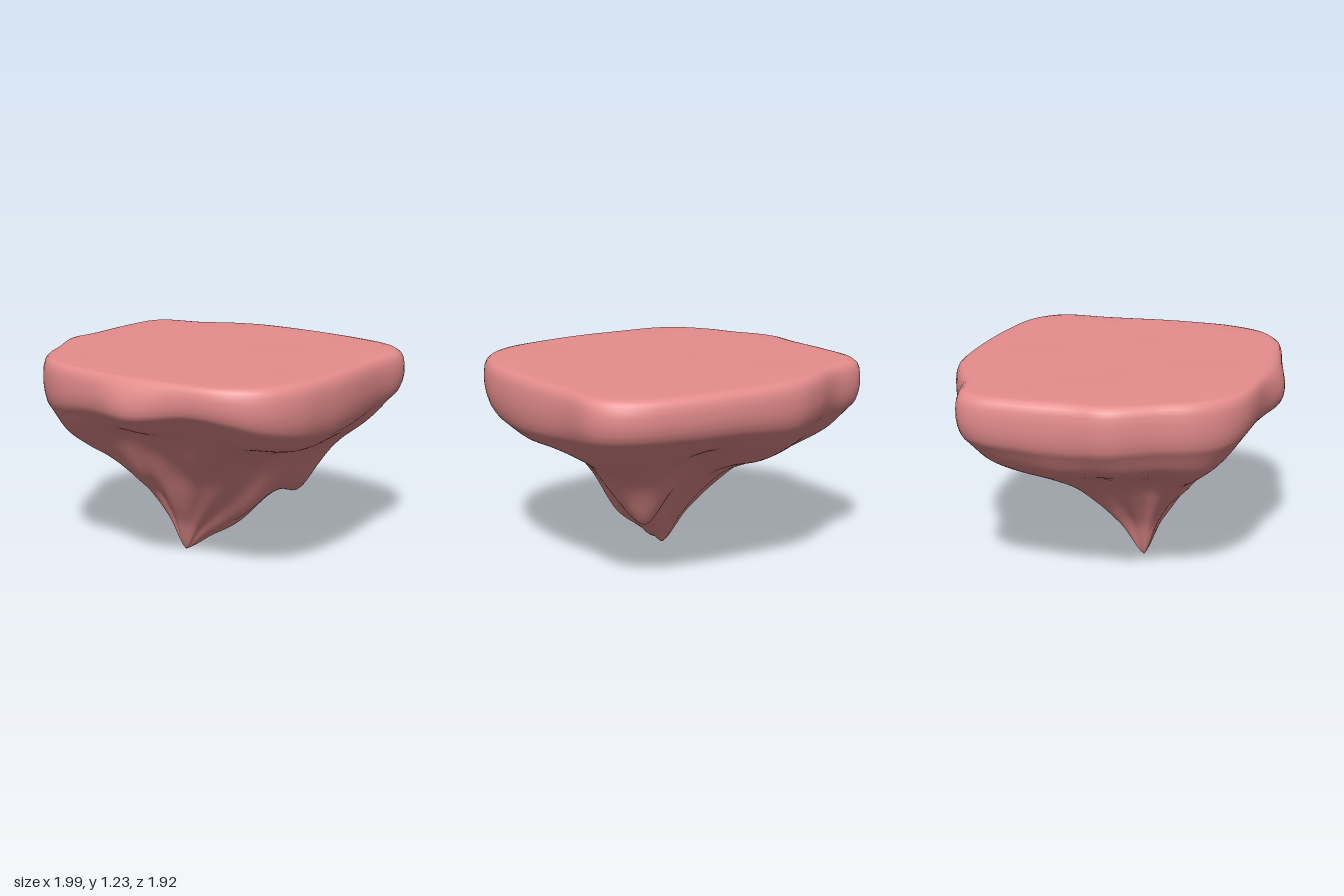
import * as THREE from 'three';
import { mergeVertices } from 'three/addons/utils/BufferGeometryUtils.js';

// Plan outline of the rim (x, z), running from the left side round the front
const OUTLINE = [
  [0.985, 0], [0.99, 0.2], [0.97, 0.45], [0.88, 0.67], [0.7, 0.81], [0.4, 0.88], [0.13, 0.905],
  [-0.15, 0.9], [-0.45, 0.87], [-0.62, 0.79], [-0.75, 0.65], [-0.84, 0.47], [-0.98, 0.2],
  [-0.98, 0], [-1, -0.3], [-0.99, -0.58], [-0.93, -0.68], [-0.68, -0.76], [-0.48, -0.87],
  [-0.3, -0.94], [0.1, -0.96], [0.5, -0.93], [0.7, -0.89], [0.83, -0.82], [0.92, -0.7], [0.94, -0.4],
];
const TIP = { x: -0.07, z: 0.16 };
const TOP = 1.23;

// Underside heights: one row per 30 degrees from 15, each from the tip to the rim
const STEPS = [0, 0.12, 0.25, 0.4, 0.55, 0.7, 0.85, 1];
const HEIGHTS = [
  [0, 0.17, 0.33, 0.51, 0.68, 0.78, 0.82, 0.94],
  [0, 0.2, 0.37, 0.56, 0.69, 0.83, 0.94, 1.06],
  [0, 0.2, 0.36, 0.56, 0.74, 0.86, 0.91, 1.02],
  [0, 0.22, 0.4, 0.53, 0.67, 0.8, 0.89, 1.01],
  [0, 0.21, 0.37, 0.5, 0.61, 0.69, 0.79, 0.97],
  [0, 0.23, 0.4, 0.57, 0.66, 0.73, 0.81, 0.98],
  [0, 0.23, 0.39, 0.54, 0.64, 0.71, 0.79, 0.96],
  [0, 0.21, 0.38, 0.53, 0.62, 0.7, 0.81, 0.98],
  [0, 0.2, 0.38, 0.54, 0.62, 0.68, 0.79, 0.97],
  [0, 0.16, 0.31, 0.5, 0.66, 0.79, 0.87, 0.99],
  [0, 0.09, 0.18, 0.36, 0.44, 0.66, 0.82, 1.01],
  [0, 0.11, 0.21, 0.34, 0.6, 0.74, 0.8, 0.92],
];
// Small hanging lumps: x, z, drop, radius
const LUMPS = [[0.38, -0.37, 0.08, 0.1], [-0.1, 0.5, 0.03, 0.12]];

// Rim wall from its lower edge to the centre of the top: plan scale, height fraction
const WALL = [
  [0.965, 0.06], [0.98, 0.15], [0.993, 0.3], [1, 0.47], [1, 0.65], [0.995, 0.8], [0.983, 0.91],
  [0.962, 0.975], [0.93, 1], [0.75, 1], [0.5, 1], [0.25, 1], [0, 1],
];
const WALL_START = 0.95;

function cubic(a, b, c, d, f) {
  return b + 0.5 * f * (c - a + f * (2 * a - 5 * b + 4 * c - d + f * (3 * (b - c) + d - a)));
}

function rowHeight(row, t) {
  let k = 0;
  while (k < STEPS.length - 2 && t > STEPS[k + 1]) k++;
  const f = (t - STEPS[k]) / (STEPS[k + 1] - STEPS[k]);
  const at = i => row[THREE.MathUtils.clamp(i, 0, row.length - 1)];
  return cubic(at(k - 1), at(k), at(k + 1), at(k + 2), f);
}

function undersideHeight(x, z, angle, t) {
  const n = HEIGHTS.length;
  const u = ((angle / (Math.PI * 2)) * n - 0.5 + 2 * n) % n;
  const k = Math.floor(u);
  const h = [-1, 0, 1, 2].map(i => rowHeight(HEIGHTS[(k + i + n) % n], t));
  let y = cubic(...h, u - k);
  for (const [lx, lz, drop, r] of LUMPS) y -= drop * Math.exp(-((x - lx) ** 2 + (z - lz) ** 2) / (r * r));
  // shallow weathered furrows
  y += 0.01 * Math.sin(angle * 11 + t * 5) * Math.sin(Math.PI * t);
  return Math.max(y, 0);
}

// Swelling below the middle of the front edge
function belly(x, z) {
  return z > 0 ? 0.06 * Math.exp(-(((x - 0.13) / 0.22) ** 2)) : 0;
}

function createRockGeometry() {
  const curve = new THREE.CatmullRomCurve3(OUTLINE.map(([x, z]) => new THREE.Vector3(x, 0, z)), true);
  const around = 160, under = 44;
  const rim = curve.getSpacedPoints(around).slice(0, around);
  const rings = [];

  // Underside, from the tip out to the rim
  for (let i = 0; i <= under; i++) {
    const t = (i / under) * WALL_START;
    rings.push(rim.map(p => {
      const dx = p.x - TIP.x, dz = p.z - TIP.z;
      const x = TIP.x + dx * t, z = TIP.z + dz * t;
      const y = undersideHeight(x, z, Math.atan2(dz, dx), t);
      return [x, y, z + belly(x, z) * (i / under) ** 6];
    }));
  }

  // Rim wall, rounded top edge and gently uneven top
  const edge = rings[under];
  for (const [s, f] of WALL) {
    rings.push(rim.map((p, j) => {
      const x = TIP.x + (p.x - TIP.x) * s, z = TIP.z + (p.z - TIP.z) * s;
      const wave = f === 1 ? 0.003 * Math.sin(x * 7) * Math.cos(z * 6) : 0;
      return [x, THREE.MathUtils.lerp(edge[j][1], TOP, f) + wave, z + belly(x, z) * (1 - f * f)];
    }));
  }

  const index = [];
  for (let i = 0; i < rings.length - 1; i++) {
    for (let j = 0; j < around; j++) {
      const a = i * around + j, b = i * around + (j + 1) % around;
      const c = a + around, d = b + around;
      if (i < rings.length - 2) index.push(a, c, d);
      else index.push(a, c, b);
      if (i > 0 && i < rings.length - 2) index.push(a, d, b);
    }
  }
  const geometry = new THREE.BufferGeometry();
  geometry.setAttribute('position', new THREE.Float32BufferAttribute(rings.flat(2), 3));
  geometry.setIndex(index);
  const merged = mergeVertices(geometry, 1e-5);
  merged.computeVertexNormals();
  return merged;
}

export function createModel() {
  const group = new THREE.Group();
  group.name = 'floatingIsland';
  const rock = new THREE.Mesh(createRockGeometry(), new THREE.MeshStandardMaterial({ color: 0xe68d8d }));
  rock.name = 'rock';
  group.add(rock);
  return group;
}
